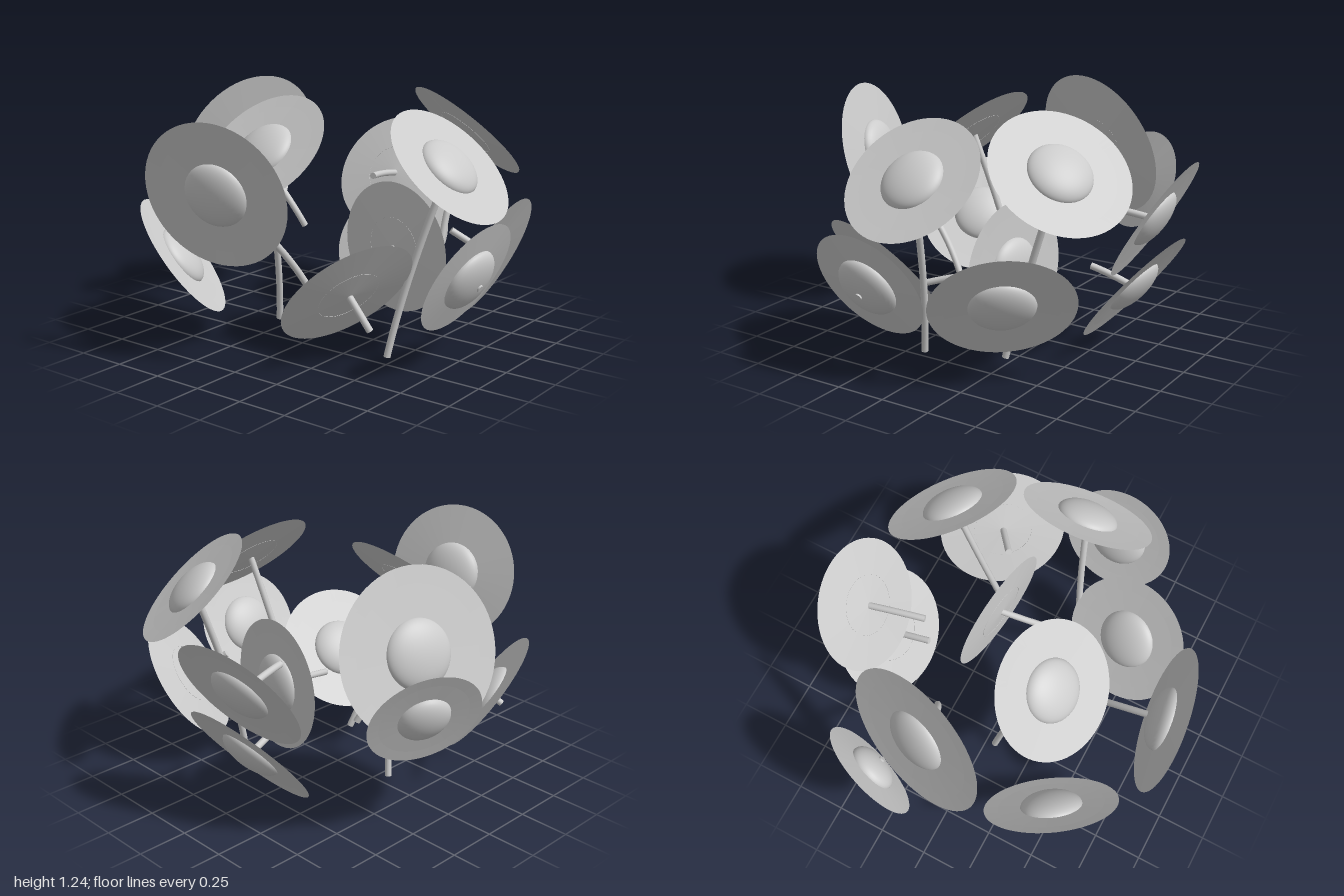
import * as THREE from 'three';

const material = new THREE.MeshStandardMaterial({ color: 0xcccccc, side: THREE.DoubleSide });
const UP = new THREE.Vector3(0, 1, 0);
const FORWARD = new THREE.Vector3(0, 0, 1);

function part(geometry, name) {
  const mesh = new THREE.Mesh(geometry, material);
  mesh.name = name;
  return mesh;
}

// Thin, slightly dished round plate; repeated points keep the rim and inner ring sharp
function petalDisc(r) {
  const ring = [r * 0.79, -0.003];
  const profile = [[0, -0.02], [r, 0], [r, 0], ring, ring, [0, -0.01]];
  return new THREE.LatheGeometry(profile.map(([x, y]) => new THREE.Vector2(x, y)), 64);
}

// Flattened centre: a dome on the face, or a full lens showing on both sides
function flowerCentre(r, lens) {
  const geometry = new THREE.SphereGeometry(r, 40, 20, 0, Math.PI * 2, 0, lens ? Math.PI : Math.PI / 2);
  return geometry.scale(1, 0.065 / r, 1).translate(0, -0.012, 0);
}

// Stem leaves the back of the head and bends towards its foot
function addStem(flower, centre, normal, foot, sag) {
  const bend = centre.clone().lerp(foot, 0.5).addScaledVector(normal, -sag * centre.distanceTo(foot));
  const curve = new THREE.QuadraticBezierCurve3(centre, bend, foot);
  const tip = part(new THREE.CircleGeometry(0.017, 12), 'stemTip');
  tip.position.copy(foot);
  tip.quaternion.setFromUnitVectors(FORWARD, curve.getTangent(1));
  flower.add(part(new THREE.TubeGeometry(curve, 20, 0.017, 12), 'stem'), tip);
}

export function createModel() {
  const model = new THREE.Group();
  model.name = 'flowerCluster';

  // Flower at a centre, facing a compass turn and an upward tilt in degrees.
  // Without a foot, the stem is a straight stub behind the head.
  function addFlower(x, y, z, turn, tilt, { foot, stub = 0.1, sag = 0.1, r = 0.335, dome = 0.155, lens = false } = {}) {
    const flower = new THREE.Group();
    flower.name = 'flower';
    const centre = new THREE.Vector3(x, y, z);
    const normal = new THREE.Vector3().setFromSphericalCoords(
      1, THREE.MathUtils.degToRad(90 - tilt), THREE.MathUtils.degToRad(turn));

    const head = new THREE.Group();
    head.name = 'flowerHead';
    head.position.copy(centre);
    head.quaternion.setFromUnitVectors(UP, normal);
    head.add(part(petalDisc(r), 'petalDisc'), part(flowerCentre(dome, lens), 'flowerCentre'));
    flower.add(head);

    const end = foot ? new THREE.Vector3(...foot) : centre.clone().addScaledVector(normal, -stub);
    addStem(flower, centre, normal, end, sag);
    model.add(flower);
  }

  // Upper flowers on long stems
  addFlower(-0.31, 0.965, -0.19, -95, 46, { foot: [-0.05, 0.02, -0.31] });
  addFlower(-0.82, 0.845, -0.035, -77, -15, { foot: [-0.17, 0.12, 0.08], sag: 0.2, r: 0.355, lens: true });
  addFlower(-0.04, 0.947, 0.7, 0, 46, { foot: [-0.17, 0.01, 0.45] });
  addFlower(0.565, 1.0, 0.42, 58, 47, { foot: [0.275, 0.065, 0.415] });
  addFlower(0.16, 0.865, -0.68, 163, 18, { foot: [0.24, 0.45, -0.37], sag: 0.2, r: 0.4, dome: 0.165 });

  // Side flowers on level stems
  addFlower(0.76, 0.68, -0.14, 96, -31, { foot: [0.455, 0.72, -0.08] });
  addFlower(0.68, 0.335, -0.105, 90, -38, { foot: [0.455, 0.41, -0.08] });
  addFlower(0.21, 0.435, 0.23, 82, 2, { foot: [-0.26, 0.31, 0.36] });

  // Outer and lower flowers with short stubs
  addFlower(-0.5, 0.42, -0.55, 35, 36);
  addFlower(-0.44, 0.385, 0.415, 162, 38, { foot: [-0.41, 0.22, 0.52] });
  addFlower(-0.16, 0.475, 0.87, 177, 26, { stub: 0.085, r: 0.293, lens: true });
  addFlower(0.42, 0.415, 0.665, 37, -33, { stub: 0.24 });
  addFlower(0.32, 0.66, -0.86, 155, -23, { stub: 0.085, r: 0.267, dome: 0.125, lens: true });

  return model;
}
